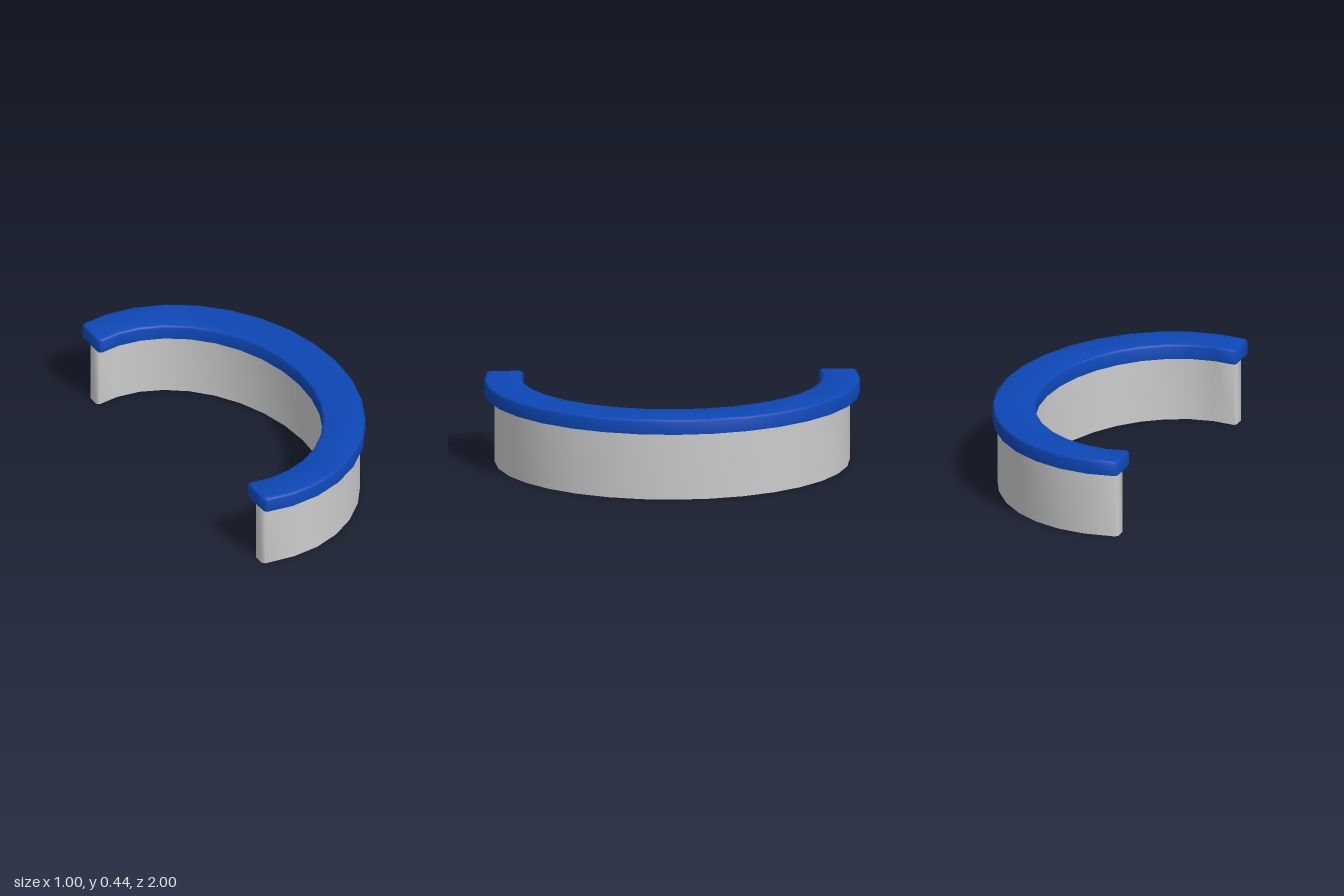
import * as THREE from 'three';
import { toCreasedNormals } from 'three/addons/utils/BufferGeometryUtils.js';

const STEP = Math.PI / 16;

// One elliptical edge [centre x, x radius, z radius] of the crescent, from the -z end to the +z end.
function arc([cx, a, b], grow, endX) {
  const pts = [];
  for (let k = -9; k <= 9; k++) {
    const t = k * STEP;
    const x = Math.abs(k) === 9 ? endX : cx + (a + grow) * Math.cos(t);
    pts.push(new THREE.Vector2(x, (b + grow) * Math.sin(t)));
  }
  return pts;
}

// Closed crescent outline (x, z), shrunk by inset, with small chamfers on its four corners.
function crescent({ outer, inner, endX, chamfer }, inset) {
  const o = arc(outer, -inset, endX + inset);
  const n = arc(inner, inset, endX + inset).reverse();
  const loop = [...o, ...n];
  const corners = new Set([0, o.length - 1, o.length, loop.length - 1]);
  const toward = (p, q) => p.clone().add(q.clone().sub(p).setLength(chamfer));
  return loop.flatMap((p, i) => {
    if (!corners.has(i)) return [p];
    const prev = loop[(i + loop.length - 1) % loop.length];
    const next = loop[(i + 1) % loop.length];
    return [toward(p, prev), toward(p, next)];
  });
}

// Skins a stack of outlines given as [y, inset]; caps are optional.
function loft(spec, levels, capped) {
  const pos = [];
  const put = (p, y) => pos.push(p.x, y, p.y);
  const loops = levels.map(([y, inset]) => ({ y, pts: crescent(spec, inset) }));
  for (let l = 0; l < loops.length - 1; l++) {
    const lo = loops[l], up = loops[l + 1], n = lo.pts.length;
    for (let i = 0; i < n; i++) {
      const j = (i + 1) % n;
      put(lo.pts[i], lo.y); put(up.pts[i], up.y); put(up.pts[j], up.y);
      put(lo.pts[i], lo.y); put(up.pts[j], up.y); put(lo.pts[j], lo.y);
    }
  }
  if (capped) {
    const bottom = loops[0], top = loops[loops.length - 1];
    for (const [a, b, c] of THREE.ShapeUtils.triangulateShape(bottom.pts, [])) {
      for (const i of [a, b, c]) put(bottom.pts[i], bottom.y);
      for (const i of [c, b, a]) put(top.pts[i], top.y);
    }
  }
  const geo = new THREE.BufferGeometry();
  geo.setAttribute('position', new THREE.Float32BufferAttribute(pos, 3));
  return toCreasedNormals(geo, 1.1);
}

export function createModel() {
  const group = new THREE.Group();
  group.name = 'curvedCounter';

  // Hollow base: a thin wall around the crescent, open underneath
  const base = new THREE.Mesh(
    loft({ outer: [-0.3, 0.775, 0.945], inner: [-0.35, 0.645, 0.855], endX: -0.482, chamfer: 0.014 },
      [[0, 0], [0.365, 0]], false),
    new THREE.MeshStandardMaterial({ color: 0xcccccc, side: THREE.DoubleSide }));
  base.name = 'baseWall';

  // Overhanging slab with a softened upper edge
  const top = new THREE.Mesh(
    loft({ outer: [-0.34, 0.84, 1], inner: [-0.375, 0.645, 0.8], endX: -0.5, chamfer: 0.014 },
      [[0.365, 0], [0.432, 0], [0.441, 0.004], [0.445, 0.013]], true),
    new THREE.MeshStandardMaterial({ color: 0x0d47b5 }));
  top.name = 'counterTop';

  group.add(base, top);
  return group;
}
